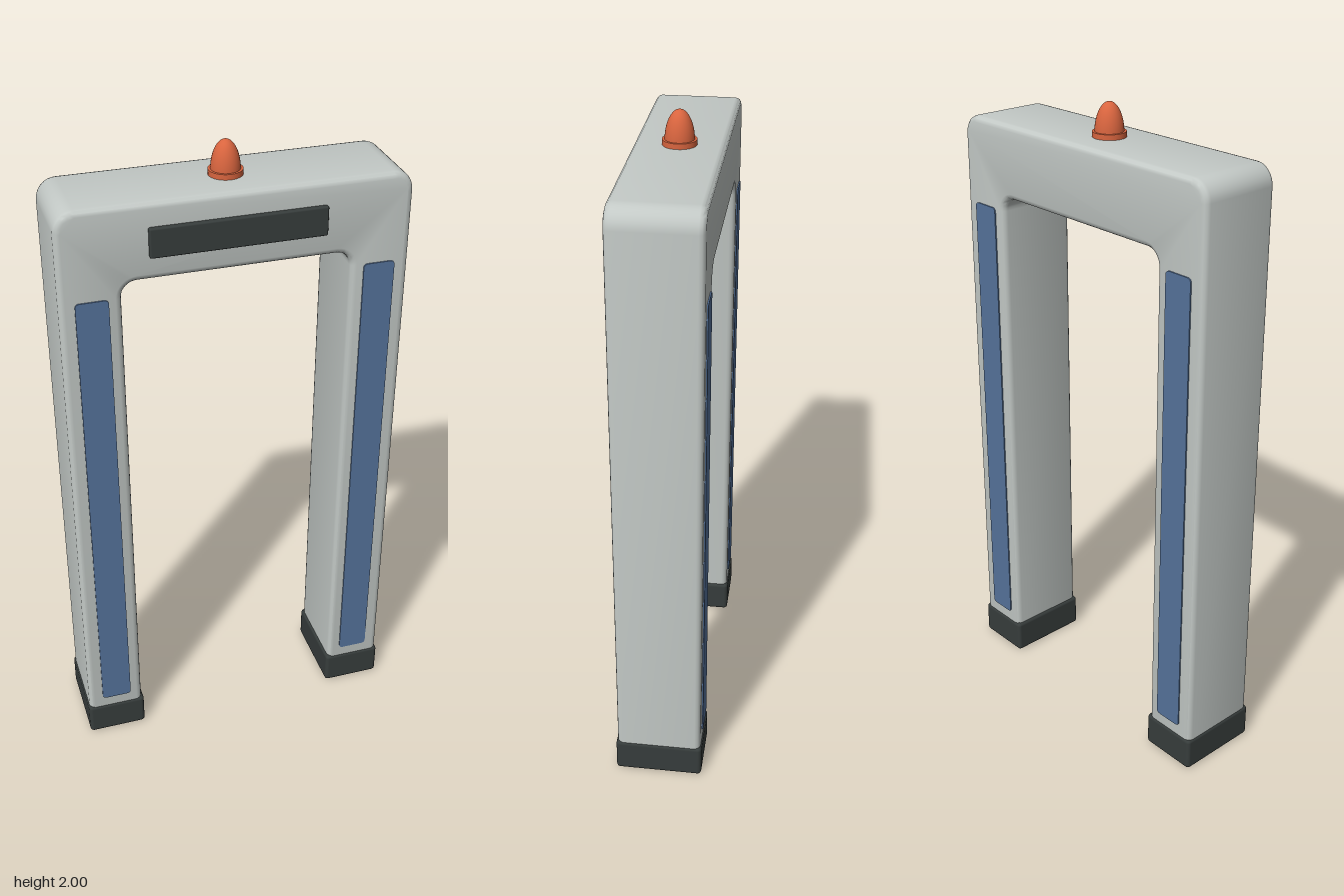
import * as THREE from 'three';
import { toCreasedNormals } from 'three/addons/utils/BufferGeometryUtils.js';
import { RoundedBoxGeometry } from 'three/addons/geometries/RoundedBoxGeometry.js';

const material = (name, color) => {
  const m = new THREE.MeshStandardMaterial({ color });
  m.name = name;
  return m;
};

const MID_Z = -0.005; // centre of the frame's depth
const HALF_DEPTH = 0.132;

export function createModel() {
  const grey = material('light grey', 0xc3c9c6);
  const dark = material('charcoal', 0x373d3c);
  const blue = material('panel blue', 0x55729a);
  const orange = material('beacon orange', 0xd9653f);

  const model = new THREE.Group();
  model.name = 'walkThroughGate';
  const add = (name, geometry, mat, x, y, z) => {
    const mesh = new THREE.Mesh(geometry, mat);
    mesh.name = name;
    mesh.position.set(x, y, z);
    model.add(mesh);
    return mesh;
  };

  // Arch: one U-shaped outline with rounded corners, extruded and bevelled
  const W = 0.515, IN = 0.337, TOP = 1.9, UNDER = 1.672, BASE = 0.01;
  const R = 0.06, r = 0.045, bevel = 0.018;
  const outline = new THREE.Shape();
  outline.moveTo(W, BASE);
  outline.lineTo(W, TOP - R);
  outline.absarc(W - R, TOP - R, R, 0, Math.PI / 2, false);
  outline.lineTo(-W + R, TOP);
  outline.absarc(-W + R, TOP - R, R, Math.PI / 2, Math.PI, false);
  outline.lineTo(-W, BASE);
  outline.lineTo(-IN, BASE);
  outline.lineTo(-IN, UNDER - r);
  outline.absarc(-IN + r, UNDER - r, r, Math.PI, Math.PI / 2, true);
  outline.lineTo(IN - r, UNDER);
  outline.absarc(IN - r, UNDER - r, r, Math.PI / 2, 0, true);
  outline.lineTo(IN, BASE);
  outline.closePath();
  const depth = 2 * (HALF_DEPTH - bevel);
  const arch = new THREE.ExtrudeGeometry(outline, {
    depth, curveSegments: 4, bevelEnabled: true, bevelSegments: 3,
    bevelSize: bevel, bevelThickness: bevel, bevelOffset: -bevel,
  });
  arch.translate(0, 0, -depth / 2);
  add('arch', toCreasedNormals(arch, 0.7), grey, 0, 0, MID_Z);

  // Thin rounded side panel, facing +z
  const pw = 0.0475, ph = 0.7425, pr = 0.012;
  const panelShape = new THREE.Shape();
  panelShape.absarc(pw - pr, ph - pr, pr, 0, Math.PI / 2, false);
  panelShape.absarc(-pw + pr, ph - pr, pr, Math.PI / 2, Math.PI, false);
  panelShape.absarc(-pw + pr, -ph + pr, pr, Math.PI, Math.PI * 1.5, false);
  panelShape.absarc(pw - pr, -ph + pr, pr, Math.PI * 1.5, Math.PI * 2, false);
  const panel = new THREE.ExtrudeGeometry(panelShape, { depth: 0.005, curveSegments: 3, bevelEnabled: false });
  const foot = new RoundedBoxGeometry(0.189, 0.11, 0.272, 2, 0.012);

  // Feet and the front and back panels on both legs
  for (const [side, s] of [['left', 1], ['right', -1]]) {
    add(side + 'Foot', foot, dark, s * 0.4245, 0.055, MID_Z);
    add(side + 'FrontPanel', panel, blue, s * 0.423, 0.8875, MID_Z + HALF_DEPTH - 0.001);
    add(side + 'BackPanel', panel, blue, s * 0.423, 0.8875, MID_Z - HALF_DEPTH + 0.001).rotation.y = Math.PI;
  }

  // Display bar on the front of the crossbeam
  add('displayBar', new RoundedBoxGeometry(0.514, 0.088, 0.03, 2, 0.005), dark, 0, 1.785, 0.126);

  // Beacon: a collar and a bullet-shaped dome
  add('beaconCollar', new THREE.CylinderGeometry(0.05, 0.05, 0.018, 32), orange, 0, 1.907, MID_Z);
  const dome = [];
  for (let i = 0; i <= 12; i++) {
    const a = (i / 12) * Math.PI / 2;
    dome.push(new THREE.Vector2(i === 12 ? 0 : 0.043 * Math.cos(a), 0.09 * Math.sin(a)));
  }
  add('beaconDome', new THREE.LatheGeometry(dome, 32), orange, 0, 1.91, MID_Z);

  return model;
}
